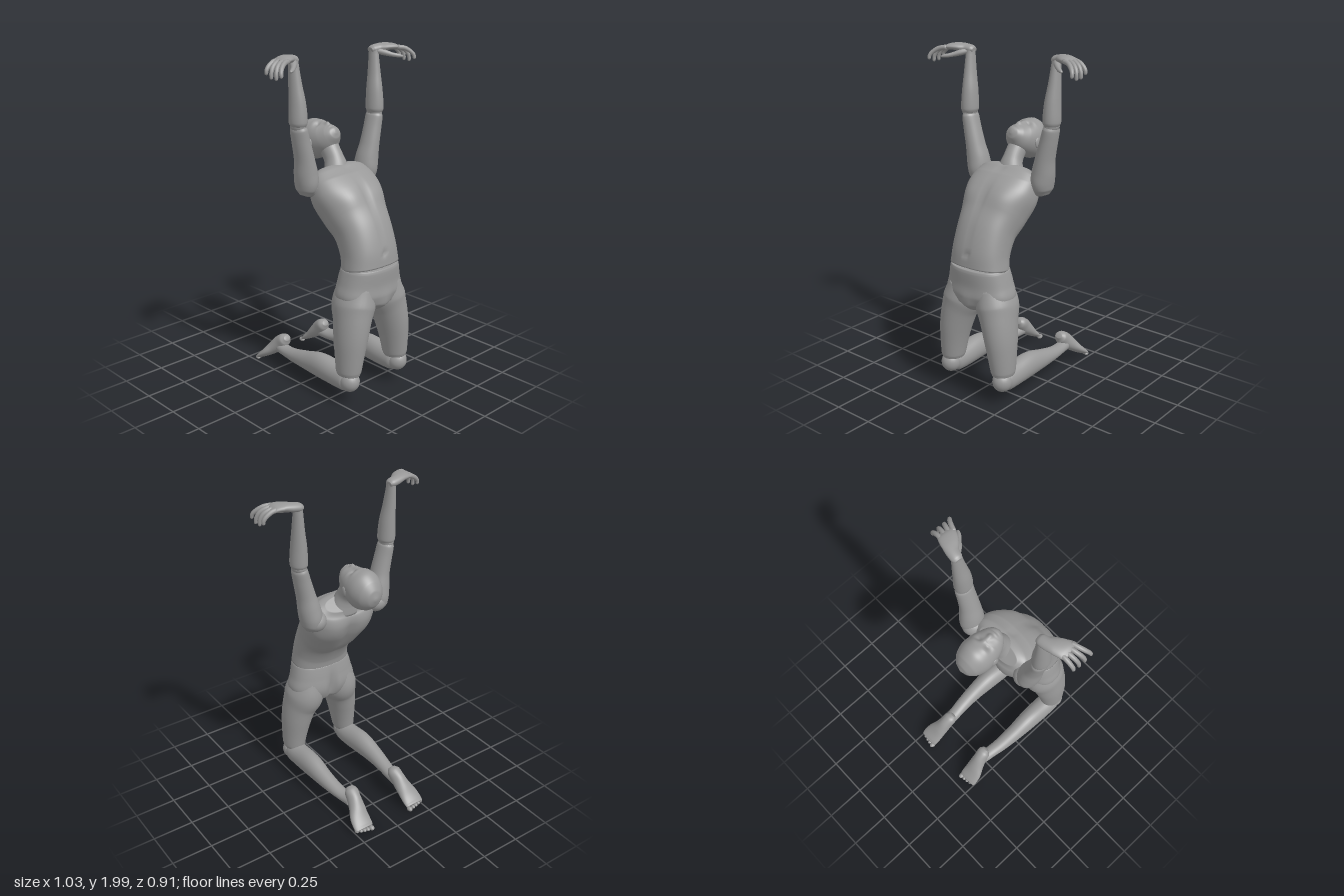
import * as THREE from 'three';

const grey = new THREE.MeshStandardMaterial({ color: 0x999999 });
grey.name = 'mannequin grey';

const X = [1, 0, 0], Z = [0, 0, 1];

// Smooth closed loft. Rows: x, y, z, half-width along side, half-depth across it.
function loft(rows, { side = X, s = 1, steps = 7, sides = 32, power = 2 } = {}) {
  const path = new THREE.CatmullRomCurve3(rows.map(r => new THREE.Vector3(r[0] * s, r[1], r[2])));
  const size = new THREE.CatmullRomCurve3(rows.map((r, i) => new THREE.Vector3(r[3], r[4], i * 0.05)));
  const n = (rows.length - 1) * steps, pos = [], index = [];
  const bend = v => Math.sign(v) * Math.abs(v) ** (2 / power);
  for (let i = 0; i <= n; i++) {
    const c = path.getPoint(i / n), r = size.getPoint(i / n), t = path.getTangent(i / n);
    const u = new THREE.Vector3(...side).addScaledVector(t, -t.dot(new THREE.Vector3(...side))).normalize();
    const v = new THREE.Vector3().crossVectors(t, u);
    for (let j = 0; j < sides; j++) {
      const a = (j / sides) * Math.PI * 2;
      const p = c.clone().addScaledVector(u, r.x * bend(Math.cos(a))).addScaledVector(v, r.y * bend(Math.sin(a)));
      pos.push(p.x, p.y, p.z);
      if (i < n) {
        const k = (j + 1) % sides, A = i * sides + j, B = i * sides + k;
        index.push(A, B, B + sides, A, B + sides, A + sides);
      }
    }
  }
  // end caps
  const first = pos.length / 3, a = path.getPoint(0), b = path.getPoint(1);
  pos.push(a.x, a.y, a.z, b.x, b.y, b.z);
  for (let j = 0; j < sides; j++) {
    const k = (j + 1) % sides;
    index.push(first, k, j, first + 1, n * sides + j, n * sides + k);
  }
  const g = new THREE.BufferGeometry();
  g.setAttribute('position', new THREE.Float32BufferAttribute(pos, 3));
  g.setIndex(index);
  g.computeVertexNormals();
  return g;
}

// Soft bumps and hollows: [x, y, z, rx, ry, rz, height], mirrored when x is not 0.
function relief(g, bumps) {
  const all = bumps.flatMap(b => (b[0] ? [b, [-b[0], ...b.slice(1)]] : [b]));
  const p = g.attributes.position, nrm = g.attributes.normal;
  for (let i = 0; i < p.count; i++) {
    const x = p.getX(i), y = p.getY(i), z = p.getZ(i);
    let h = 0;
    for (const b of all) {
      h += b[6] * Math.exp(-(((x - b[0]) / b[3]) ** 2) - ((y - b[1]) / b[4]) ** 2 - ((z - b[2]) / b[5]) ** 2);
    }
    p.setXYZ(i, x + nrm.getX(i) * h, y + nrm.getY(i) * h, z + nrm.getZ(i) * h);
  }
  g.computeVertexNormals();
  return g;
}

export function createModel() {
  const model = new THREE.Group();
  model.name = 'mannequin';
  const add = (name, g) => {
    const m = new THREE.Mesh(g, grey);
    m.name = name;
    model.add(m);
    return m;
  };
  const ball = (name, x, y, z, rx, ry = rx, rz = rx) => {
    const m = add(name, new THREE.SphereGeometry(1, 24, 16));
    m.position.set(x, y, z);
    m.scale.set(rx, ry, rz);
  };

  // Torso arching backwards
  add('torso', relief(loft([
    [0, 0.805, 0.325, 0.181, 0.126], [0, 0.89, 0.31, 0.172, 0.13], [0, 1.005, 0.26, 0.174, 0.138],
    [0, 1.09, 0.195, 0.197, 0.147], [0, 1.18, 0.13, 0.222, 0.145], [0, 1.25, 0.08, 0.215, 0.12],
    [0, 1.295, 0.05, 0.19, 0.085], [0, 1.318, 0.03, 0.14, 0.05],
  ], { power: 2.4, sides: 72, steps: 9 }), [
    [0.1, 1.2, 0.26, 0.07, 0.06, 0.08, 0.012], [0, 1.2, 0.28, 0.015, 0.1, 0.1, -0.009],
    [0, 0.9, 0.44, 0.011, 0.016, 0.03, -0.014], [0, 1.0, 0.4, 0.012, 0.1, 0.06, -0.004],
    [0, 1.1, 0.02, 0.03, 0.16, 0.12, -0.018], [0.1, 1.17, 0, 0.06, 0.08, 0.06, 0.012],
    [0, 1.32, 0.12, 0.02, 0.025, 0.03, -0.012],
  ]));

  // Neck and upturned head
  add('neck', loft([
    [0, 1.26, 0.055, 0.1, 0.075], [0, 1.32, 0.045, 0.075, 0.068], [0, 1.37, 0.025, 0.057, 0.06],
    [0, 1.42, -0.01, 0.055, 0.06], [0, 1.47, -0.05, 0.055, 0.06],
  ]));
  add('head', relief(loft([
    [0, 1.445, -0.248, 0.008, 0.008], [0, 1.446, -0.235, 0.045, 0.05], [0, 1.45, -0.2, 0.08, 0.092],
    [0, 1.46, -0.14, 0.1, 0.118], [0, 1.472, -0.08, 0.097, 0.106], [0, 1.488, -0.03, 0.084, 0.088],
    [0, 1.51, 0.01, 0.062, 0.058], [0, 1.523, 0.034, 0.038, 0.034], [0, 1.528, 0.044, 0.008, 0.008],
  ], { sides: 72, steps: 8 }), [
    [0.037, 1.57, -0.075, 0.022, 0.05, 0.016, -0.014], [0, 1.58, -0.045, 0.012, 0.05, 0.026, 0.01],
    [0, 1.58, -0.026, 0.015, 0.05, 0.012, 0.014], [0, 1.57, 0.002, 0.022, 0.03, 0.008, 0.006],
    [0, 1.56, 0.013, 0.02, 0.03, 0.005, -0.004], [0, 1.55, 0.03, 0.025, 0.03, 0.012, 0.005],
    [0.04, 1.57, -0.105, 0.03, 0.05, 0.014, 0.004],
  ]));

  // Pelvis
  add('pelvis', relief(loft([
    [0, 0.812, 0.325, 0.176, 0.122], [0, 0.8, 0.325, 0.184, 0.129], [0, 0.72, 0.317, 0.205, 0.134],
    [0, 0.65, 0.315, 0.222, 0.138], [0, 0.59, 0.32, 0.19, 0.12], [0, 0.555, 0.325, 0.1, 0.08],
  ], { sides: 64, power: 2.3 }), [
    [0, 0.64, 0.17, 0.02, 0.09, 0.07, -0.035], [0, 0.6, 0.43, 0.04, 0.06, 0.06, 0.016],
  ]));

  for (const s of [1, -1]) {
    const side = s > 0 ? 'left' : 'right';
    const part = (name, rows, opts) => add(side + name, loft(rows, { s, ...opts }));

    ball(side + 'Ear', 0.096 * s, 1.455, -0.08, 0.009, 0.03, 0.022);

    // Kneeling leg
    part('Thigh', [
      [0.1, 0.7, 0.315, 0.09, 0.12], [0.124, 0.59, 0.318, 0.114, 0.137], [0.151, 0.5, 0.335, 0.1, 0.12],
      [0.172, 0.4, 0.345, 0.089, 0.108], [0.185, 0.3, 0.35, 0.077, 0.093], [0.193, 0.21, 0.352, 0.067, 0.08],
      [0.194, 0.19, 0.353, 0.06, 0.073],
    ]);
    ball(side + 'Knee', 0.2 * s, 0.15, 0.367, 0.058, 0.062, 0.062);
    part('Shin', [
      [0.197, 0.148, 0.365, 0.05, 0.056], [0.196, 0.15, 0.34, 0.063, 0.07], [0.195, 0.153, 0.26, 0.066, 0.073],
      [0.197, 0.16, 0.13, 0.062, 0.077], [0.197, 0.147, 0, 0.052, 0.058], [0.19, 0.133, -0.12, 0.044, 0.041],
      [0.18, 0.127, -0.2, 0.04, 0.034], [0.173, 0.13, -0.27, 0.038, 0.036],
    ]);
    part('Foot', [
      [0.163, 0.205, -0.222, 0.022, 0.016], [0.163, 0.19, -0.243, 0.041, 0.038], [0.168, 0.155, -0.28, 0.043, 0.048],
      [0.176, 0.115, -0.325, 0.051, 0.04], [0.188, 0.075, -0.37, 0.062, 0.029], [0.192, 0.045, -0.41, 0.064, 0.02],
      [0.192, 0.034, -0.426, 0.06, 0.015],
    ]);
    for (let i = 0; i < 5; i++) {
      const r = i ? 0.012 : 0.016;
      ball(side + 'Toe', (0.147 + i * 0.023 + (i ? 0.004 : 0)) * s, 0.023 + i * 0.002, -0.434 + i * i * 0.0012, r, r * 0.9, r * 1.3);
    }

    // Raised arm
    ball(side + 'Shoulder', 0.212 * s, 1.255, 0.045, 0.068, 0.065, 0.074);
    part('UpperArm', [
      [0.24, 1.205, 0.048, 0.03, 0.04], [0.236, 1.235, 0.048, 0.054, 0.066], [0.234, 1.28, 0.05, 0.064, 0.076],
      [0.242, 1.34, 0.053, 0.064, 0.071], [0.257, 1.42, 0.058, 0.054, 0.062], [0.28, 1.52, 0.058, 0.048, 0.057],
      [0.294, 1.585, 0.057, 0.043, 0.056], [0.297, 1.603, 0.057, 0.036, 0.048],
    ]);
    ball(side + 'Elbow', 0.297 * s, 1.608, 0.056, 0.041, 0.04, 0.05);
    part('Forearm', [
      [0.296, 1.606, 0.057, 0.04, 0.047], [0.297, 1.63, 0.057, 0.049, 0.056], [0.298, 1.73, 0.052, 0.044, 0.052],
      [0.303, 1.83, 0.043, 0.034, 0.042], [0.306, 1.93, 0.035, 0.026, 0.033], [0.306, 1.968, 0.033, 0.023, 0.03],
    ]);

    // Hand bent outwards with drooping fingers
    part('Palm', [
      [0.283, 1.962, 0.028, 0.022, 0.014], [0.3, 1.965, 0.03, 0.032, 0.023], [0.34, 1.971, 0.037, 0.037, 0.025],
      [0.38, 1.977, 0.056, 0.048, 0.022], [0.42, 1.975, 0.075, 0.052, 0.019], [0.445, 1.968, 0.082, 0.048, 0.013],
    ], { side: Z });
    for (let i = 0; i < 4; i++) {
      const z0 = 0.043 + i * 0.025, z1 = 0.05 + i * 0.04, drop = [0.02, 0.002, 0, 0.016][i];
      part('Finger', [
        [0.415, 1.975, z0, 0.013, 0.013], [0.455, 1.969, z0 * 0.7 + z1 * 0.3, 0.0135, 0.0135],
        [0.487, 1.95, z0 * 0.35 + z1 * 0.65, 0.0125, 0.0125], [0.504, 1.92 + drop / 2, z1 * 0.92 + z0 * 0.08, 0.011, 0.011],
        [0.506, 1.892 + drop, z1, 0.009, 0.009], [0.505, 1.886 + drop, z1, 0.003, 0.003],
      ], { side: Z, sides: 14, steps: 4 });
    }
    part('Thumb', [
      [0.315, 1.957, 0.045, 0.018, 0.016], [0.345, 1.947, 0.08, 0.019, 0.017], [0.375, 1.936, 0.112, 0.014, 0.013],
      [0.405, 1.929, 0.138, 0.012, 0.011], [0.425, 1.925, 0.15, 0.008, 0.007], [0.43, 1.924, 0.152, 0.002, 0.002],
    ], { side: Z, sides: 14, steps: 4 });
  }
  return model;
}
